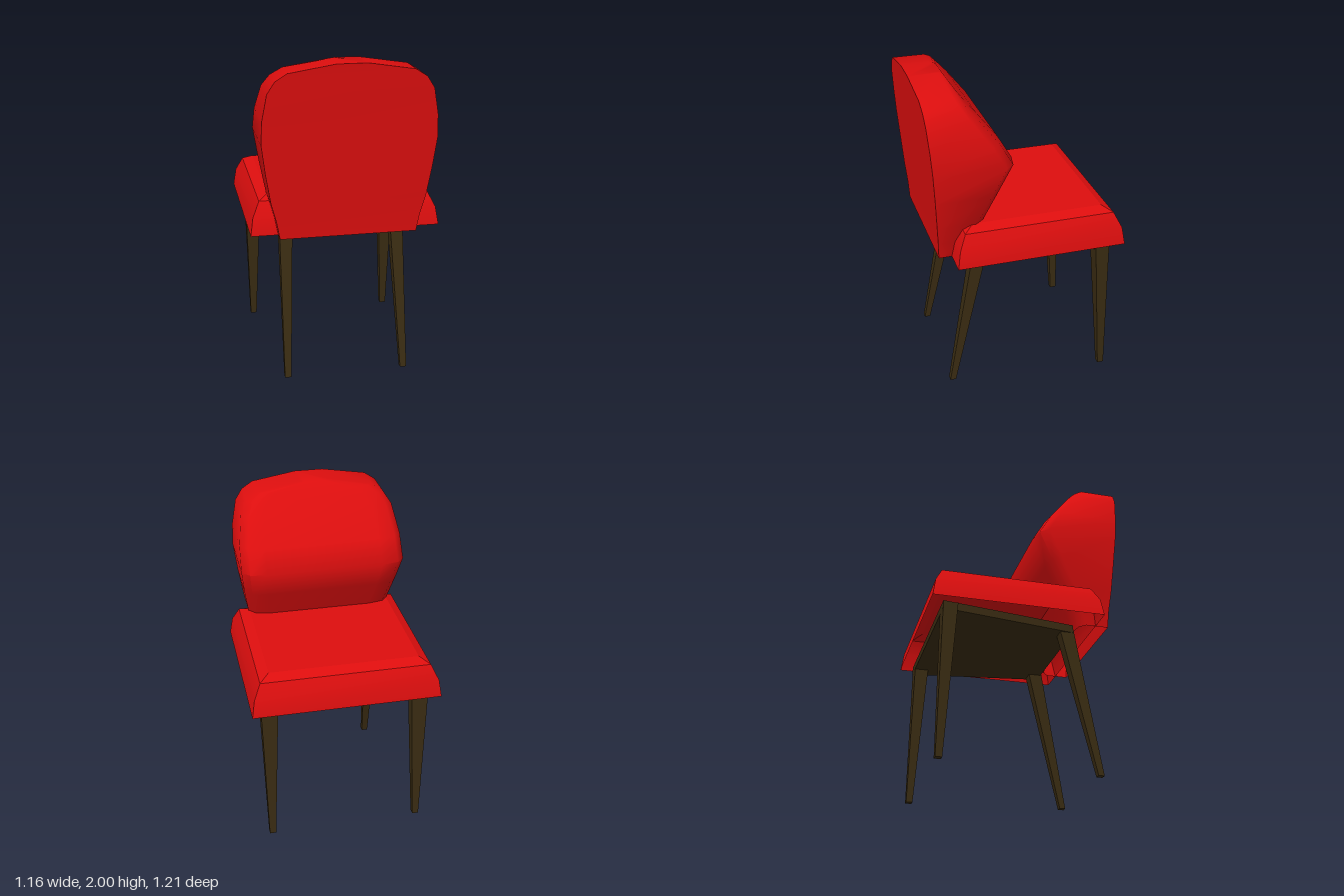
import * as THREE from 'three';
import { toCreasedNormals } from 'three/addons/utils/BufferGeometryUtils.js';

const fabric = new THREE.MeshStandardMaterial({ color: 0xdd0e0e, side: THREE.DoubleSide });
const wood = new THREE.MeshStandardMaterial({ color: 0x3a2c12 });

// Skin a stack of convex rings, lowest first; each ring runs from +x towards +z.
function loft(rings, capBottom, crease) {
  const n = rings[0].length;
  const index = [];
  for (let i = 0; i < rings.length - 1; i++) {
    for (let j = 0; j < n; j++) {
      const a = i * n + j, b = i * n + (j + 1) % n;
      index.push(a, a + n, b, b, a + n, b + n);
    }
  }
  const top = (rings.length - 1) * n;
  for (let j = 1; j < n - 1; j++) {
    index.push(top, top + j + 1, top + j);
    if (capBottom) index.push(0, j, j + 1);
  }
  const geometry = new THREE.BufferGeometry();
  geometry.setAttribute('position', new THREE.Float32BufferAttribute(rings.flat(2), 3));
  geometry.setIndex(index);
  return toCreasedNormals(geometry, crease);
}

const rect = (y, x0, x1, z0, z1) => [[x1, y, z0], [x1, y, z1], [x0, y, z1], [x0, y, z0]];

// Backrest cross-section: flat sharp-edged rear, rounded front corners
function backRing([y, w, rear, front, round]) {
  const side = [[1, 1], [0.91, 0.28], [0.71, 0]].map(([fx, fz]) => [w * fx, y, front + round * fz]);
  const mirrored = side.map(([x, py, z]) => [-x, py, z]);
  return [[w, y, rear], [-w, y, rear], ...mirrored, ...side.reverse()];
}

export function createModel() {
  const group = new THREE.Group();
  const add = (name, geometry, material) => {
    const mesh = new THREE.Mesh(geometry, material);
    mesh.name = name;
    group.add(mesh);
  };

  // Seat cushion: [height, inset], hollow underneath
  const seatSteps = [[0.95, 0], [1.06, 0.017], [1.15, 0.06], [1.18, 0.12]];
  add('seat', loft(seatSteps.map(([y, d]) =>
    rect(y, -0.58 + d, 0.58 - d, -0.605 + d, 0.45 - d)), false, 0.4), fabric);

  // Backrest: [height, half width, rear z, front z, corner depth]
  const backSteps = [
    [0.95, 0.415, 0.53, 0.34, 0.05],
    [1.06, 0.435, 0.535, 0.295, 0.06],
    [1.18, 0.467, 0.545, 0.235, 0.07],
    [1.36, 0.497, 0.557, 0.15, 0.07],
    [1.54, 0.52, 0.57, 0.063, 0.07],
    [1.68, 0.515, 0.58, 0.145, 0.07],
    [1.84, 0.485, 0.593, 0.27, 0.06],
    [1.91, 0.44, 0.598, 0.33, 0.05],
    [1.955, 0.37, 0.601, 0.366, 0.04],
    [2.0, 0.09, 0.605, 0.4, 0.03],
  ];
  add('backrest', loft(backSteps.map(backRing), false, 1.05), fabric);

  // Seat frame, narrower at the rear
  const frameRing = (y) => [[0.52, y, -0.53], [0.39, y, 0.31], [-0.39, y, 0.31], [-0.52, y, -0.53]];
  add('seatFrame', loft([frameRing(0.9), frameRing(0.95)], true, 0.3), wood);

  // Tapered legs, mirrored left and right
  for (const s of [1, -1]) {
    const leg = (y, x0, x1, z0, z1) => rect(y, Math.min(s * x0, s * x1), Math.max(s * x0, s * x1), z0, z1);
    const label = s > 0 ? 'Left' : 'Right';
    add('frontLeg' + label, loft([
      leg(0, 0.455, 0.495, -0.545, -0.505),
      leg(0.945, 0.415, 0.519, -0.529, -0.44),
    ], true, 0.3), wood);
    add('rearLeg' + label, loft([
      leg(0, 0.352, 0.392, 0.44, 0.477),
      leg(0.945, 0.308, 0.389, 0.22, 0.309),
    ], true, 0.3), wood);
  }
  return group;
}
